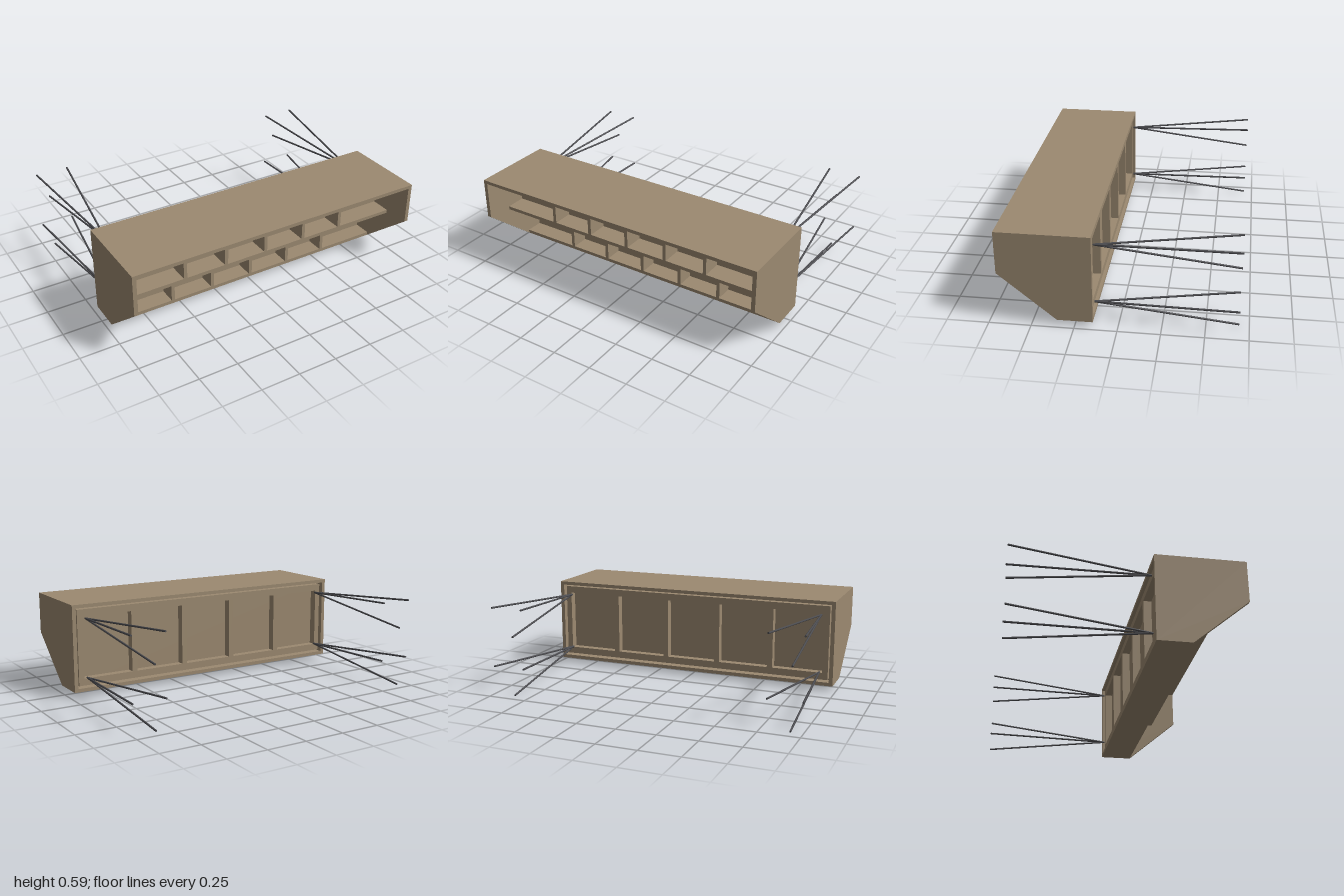
import * as THREE from 'three';

const X0 = -0.98, X1 = 0.975;            // cabinet ends
const Y0 = 0.034, Y1 = 0.586;            // underside and top
const BACK = 0.143, FRONT = 0.693;       // cabinet depth range
const T = 0.022, SIDE = 0.025;           // board thicknesses
const LOW_FRONT = 0.352, UP_FRONT = 0.52; // front edges of the two rows
const MID = 0.31;                        // centre height of the middle shelf
const IX0 = X0 + SIDE, IX1 = X1 - SIDE;

export function createModel() {
  const model = new THREE.Group();
  const wood = new THREE.MeshStandardMaterial({ color: 0x9c8a71 });
  const metal = new THREE.MeshStandardMaterial({ color: 0x4c4c50 });

  // Box given by its extents on each axis
  function board(name, xa, xb, ya, yb, za, zb) {
    const mesh = new THREE.Mesh(new THREE.BoxGeometry(xb - xa, yb - ya, zb - za), wood);
    mesh.position.set((xa + xb) / 2, (ya + yb) / 2, (za + zb) / 2);
    mesh.name = name;
    model.add(mesh);
  }

  // Side panels with the cut-away lower front corner
  const profile = new THREE.Shape([
    [BACK, Y0], [LOW_FRONT, Y0], [FRONT, 0.322], [FRONT, Y1], [BACK, Y1],
  ].map(([z, y]) => new THREE.Vector2(z, y)));
  const sideGeometry = new THREE.ExtrudeGeometry(profile, { depth: SIDE, bevelEnabled: false });
  sideGeometry.rotateY(-Math.PI / 2);
  for (const [name, x] of [['rightSide', IX0], ['leftSide', X1]]) {
    const side = new THREE.Mesh(sideGeometry, wood);
    side.position.x = x;
    side.name = name;
    model.add(side);
  }

  // Horizontal boards, back panel and the upper row's own, more forward back
  const studBack = BACK + 0.016, panelBack = studBack + 0.05, panelFront = 0.24;
  const upperBack = 0.39;
  board('topPanel', IX0, IX1, Y1 - T, Y1, BACK, FRONT);
  board('bottomPanel', IX0, IX1, Y0, Y0 + T, BACK, LOW_FRONT);
  board('backPanel', IX0, IX1, Y0 + T, Y1 - T, panelBack, panelFront);
  board('middleShelf', IX0, IX1, MID - T / 2, MID + T / 2, panelFront, UP_FRONT);
  board('upperBackPanel', IX0, IX1, MID + T / 2, Y1 - T, upperBack - 0.02, upperBack);

  // Compartment dividers, the upper row standing further forward
  for (let i = -2; i <= 2; i++) {
    const x = -0.006 + i * 0.279;
    board('upperDivider', x - T / 2, x + T / 2, MID + T / 2, Y1 - T, upperBack, UP_FRONT);
    board('lowerDivider', x - T / 2, x + T / 2, Y0 + T, MID - T / 2, panelFront, LOW_FRONT);
  }

  // Recessed frame on the back with a narrow gap around it: two rails and six studs
  const rail = 0.045, stud = 0.036, gap = 0.012;
  const fx0 = IX0 + gap, fx1 = IX1 - gap, fy0 = Y0 + T + gap, fy1 = Y1 - T - gap;
  board('topRail', fx0, fx1, fy1 - rail, fy1, studBack, panelBack);
  board('bottomRail', fx0, fx1, fy0, fy0 + rail, studBack, panelBack);
  for (let i = 0; i < 6; i++) {
    const xa = fx0 + i * (fx1 - fx0 - stud) / 5;
    board('backStud', xa, xa + stud, fy0 + rail, fy1 - rail, studBack, panelBack);
  }

  // Four fans of three thin rods reaching backwards
  const tips = [[-0.104, 0.06], [0.104, 0.06], [-0.036, -0.115]];
  for (const x of [-0.891, 0.888]) {
    for (const y of [0.121, 0.497]) {
      const fan = new THREE.Group();
      fan.name = 'rodFan';
      const start = new THREE.Vector3(x, y, BACK + 0.002);
      for (const [dx, dy] of tips) {
        const end = new THREE.Vector3(x + dx, y + dy, -0.692);
        const dir = end.clone().sub(start);
        const rod = new THREE.Mesh(new THREE.CylinderGeometry(0.006, 0.006, dir.length(), 10), metal);
        rod.position.copy(start).add(end).multiplyScalar(0.5);
        rod.quaternion.setFromUnitVectors(new THREE.Vector3(0, 1, 0), dir.normalize());
        rod.name = 'rod';
        fan.add(rod);
      }
      model.add(fan);
    }
  }
  return model;
}
